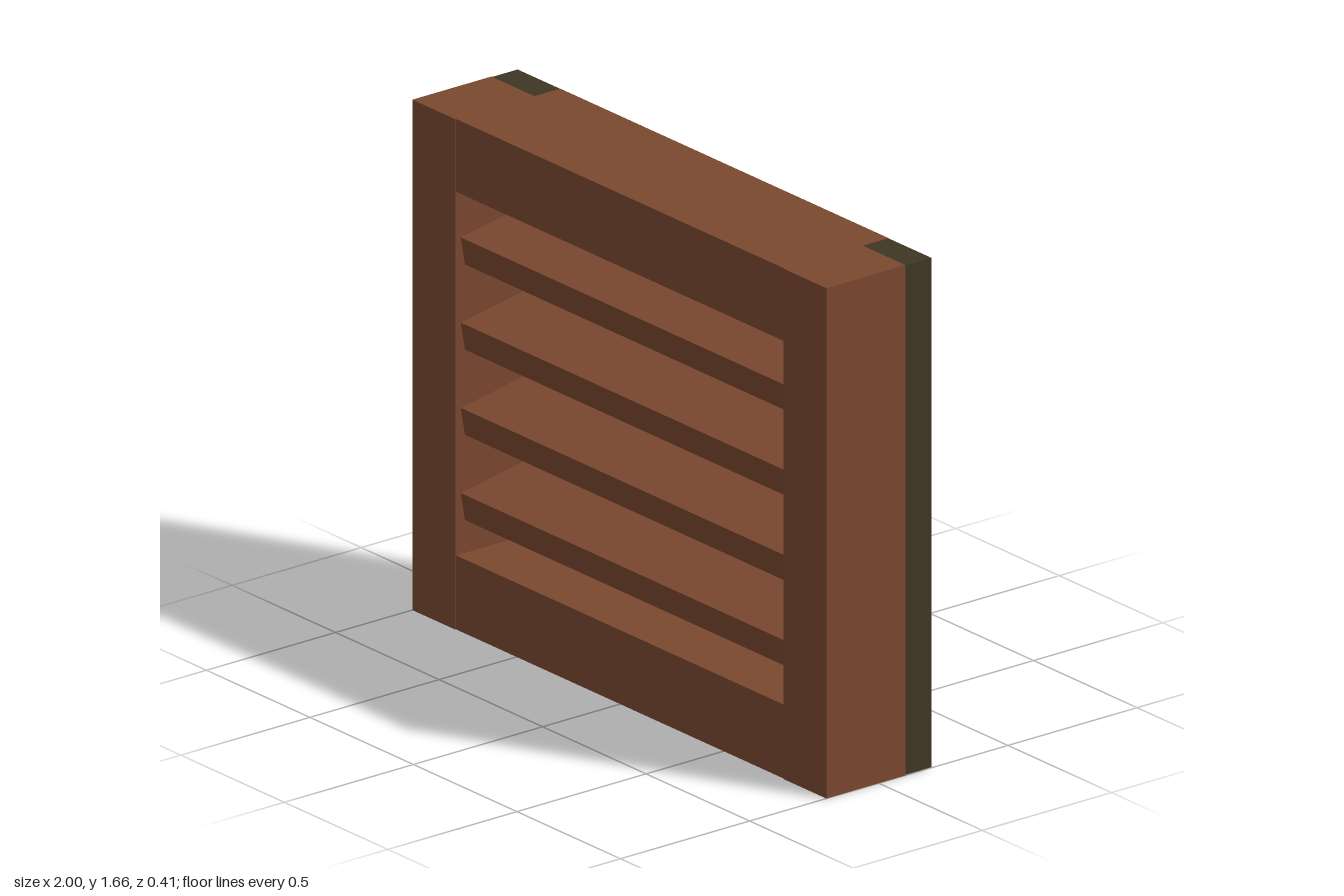
import * as THREE from 'three';

export function createModel() {
  const group = new THREE.Group();
  const wood = new THREE.MeshStandardMaterial({ color: 0x7a482f });
  wood.name = 'brown wood';
  const dark = new THREE.MeshStandardMaterial({ color: 0x3f3623 });
  dark.name = 'dark backing';

  // box given by its x, y and z ranges
  function box(name, [x0, x1], [y0, y1], [z0, z1], material) {
    const mesh = new THREE.Mesh(new THREE.BoxGeometry(x1 - x0, y1 - y0, z1 - z0), material);
    mesh.position.set((x0 + x1) / 2, (y0 + y1) / 2, (z0 + z1) / 2);
    mesh.name = name;
    group.add(mesh);
  }

  const H = 1.656;
  const inner = 0.792;

  // solid panel closing the back
  box('backPanel', [-1, 1], [0.002, H - 0.002], [-0.205, -0.103], dark);

  // upright sides of the frame
  box('leftStile', [inner, 1], [0, H], [-0.103, 0.203], wood);
  box('rightStile', [-1, -inner], [0, H], [-0.103, 0.203], wood);

  // top and bottom rails run over the panel's edges
  box('topRail', [-inner, inner], [1.42, H], [-0.203, 0.2], wood);
  box('bottomRail', [-inner, inner], [0, 0.24], [-0.203, 0.2], wood);

  // louvre slats, tilted down towards the front
  const tilt = THREE.MathUtils.degToRad(10);
  const thickness = 0.093, depth = 0.285;
  const slatGeometry = new THREE.BoxGeometry(inner * 2, thickness, depth);
  slatGeometry.translate(0, -thickness / 2, -depth / 2); // pivot on the top front edge
  for (let i = 0; i < 4; i++) {
    const slat = new THREE.Mesh(slatGeometry, wood);
    slat.position.set(0, 0.438 + i * 0.2765, 0.182);
    slat.rotation.x = tilt;
    slat.name = 'slat' + (i + 1);
    group.add(slat);
  }
  return group;
}
